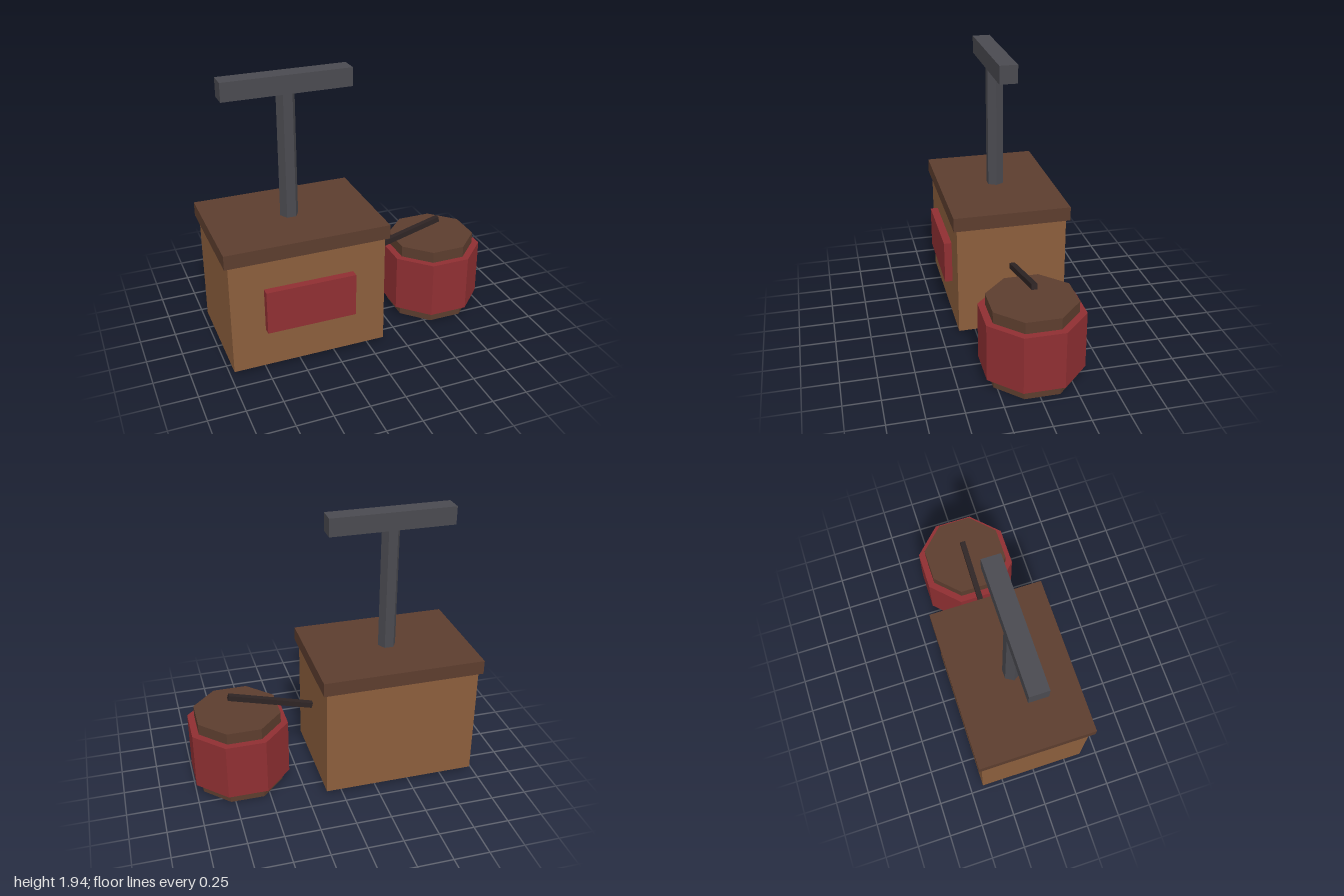
import * as THREE from 'three';

const ZC = -0.015; // shared centre plane

const mat = (name, color) => {
  const m = new THREE.MeshStandardMaterial({ color, flatShading: true });
  m.name = name;
  return m;
};

export function createModel() {
  const model = new THREE.Group();
  model.name = 'plungerBox';

  const wood = mat('lightWood', 0x8b5e3c);
  const darkWood = mat('darkWood', 0x5c3d2e);
  const red = mat('red', 0x8f2f32);
  const metal = mat('greyMetal', 0x4a4a50);
  const black = mat('blackWire', 0x2e2424);

  const add = (name, geometry, material, x, y, z = ZC) => {
    const mesh = new THREE.Mesh(geometry, material);
    mesh.name = name;
    mesh.position.set(x, y, z);
    model.add(mesh);
    return mesh;
  };
  const box = (w, h, d) => new THREE.BoxGeometry(w, h, d);
  // Prism with its flats facing +z and -z
  const prism = (apothem, h, sides) =>
    new THREE.CylinderGeometry(1, 1, h, sides)
      .rotateY(Math.PI / sides)
      .scale(apothem / Math.cos(Math.PI / sides), 1, apothem / Math.cos(Math.PI / sides));

  // Box with lid and front panel
  add('body', box(1.088, 0.81, 0.78), wood, -0.43, 0.435);
  add('lid', box(1.14, 0.1, 0.828), darkWood, -0.43, 0.887);
  add('frontPanel', box(0.626, 0.31, 0.06), red, -0.43, 0.471, 0.4);

  // Plunger
  add('plungerPost', prism(0.0555, 0.9, 6), metal, -0.432, 1.37);
  add('plungerHandle', box(0.88, 0.127, 0.127), metal, -0.43, 1.875);

  // Octagonal drum around a longer core
  add('drumCore', prism(0.288, 0.573, 8), darkWood, 0.663, 0.2865);
  add('drumBand', prism(0.335, 0.412, 8), red, 0.663, 0.286);

  // Slanted wire from the box to above the drum
  const wire = add('wire', box(0.618, 0.039, 0.039), black, 0.419, 0.602);
  wire.rotation.z = Math.atan2(0.161, 0.597);

  return model;
}
